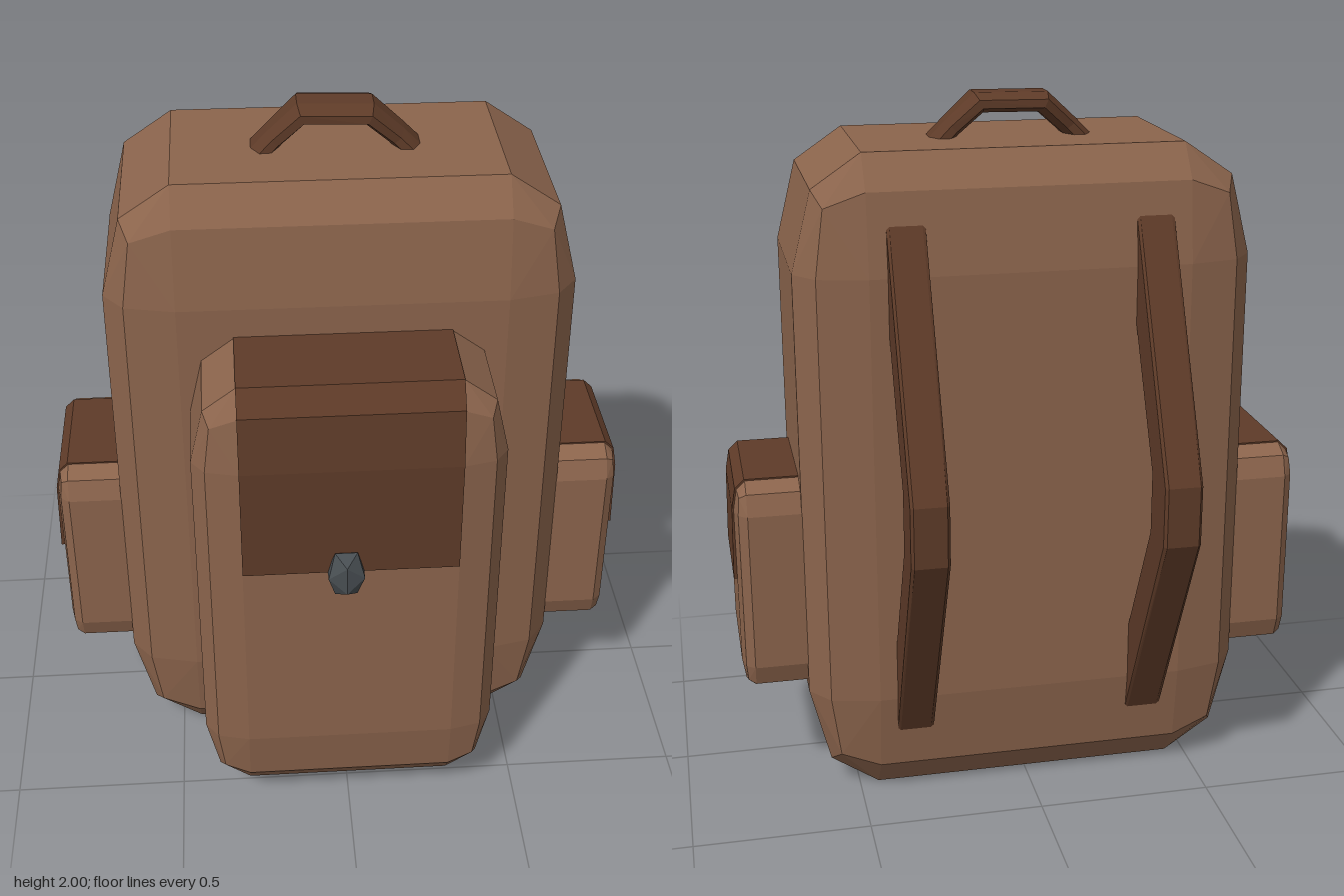
import * as THREE from 'three';
import { ConvexGeometry } from 'three/addons/geometries/ConvexGeometry.js';

const material = (color) => new THREE.MeshStandardMaterial({ color, flatShading: true });
const canvas = material(0x8b644c);
const leather = material(0x5e3b28);
const metal = material(0x484e52);

function add(parent, name, geometry, mat) {
  const mesh = new THREE.Mesh(geometry, mat);
  mesh.name = name;
  parent.add(mesh);
  return mesh;
}

// Box from min to max whose corners are coarse ellipsoid octants with radii r
function softBox(min, max, r) {
  const a = Math.SQRT1_2, b = 1 / Math.sqrt(3);
  const octant = [[1, 0, 0], [0, 1, 0], [0, 0, 1], [a, a, 0], [a, 0, a], [0, a, a], [b, b, b]];
  const points = [];
  for (const sx of [-1, 1]) for (const sy of [-1, 1]) for (const sz of [-1, 1]) {
    const signs = [sx, sy, sz];
    for (const d of octant) {
      points.push(new THREE.Vector3(...signs.map((s, i) =>
        (s > 0 ? max[i] : min[i]) + s * r[i] * (d[i] - 1))));
    }
  }
  return new ConvexGeometry(points);
}

// Extrudes a closed profile, centred on its depth
function slab(profile, width, bevel = 0) {
  const shape = new THREE.Shape(profile.map(([x, y]) => new THREE.Vector2(x, y)));
  const depth = width - 2 * bevel;
  return new THREE.ExtrudeGeometry(shape, {
    depth, bevelEnabled: bevel > 0, bevelSegments: 1,
    bevelSize: bevel, bevelThickness: bevel, bevelOffset: -bevel,
  }).translate(0, 0, -depth / 2);
}

// Eight-sided strip swept over the arch of the carry handle
function handleGeometry() {
  const rings = [
    { x: -0.24, y: 1.83, z: -0.02, n: [-0.75, 0.66], w: 0.072 },
    { x: -0.165, y: 1.905, z: -0.026, n: [-0.75, 0.66], w: 0.066 },
    { x: -0.09, y: 1.972, z: -0.036, n: [-0.45, 1], w: 0.079 },
    { x: 0.09, y: 1.972, z: -0.022, n: [0.45, 1], w: 0.079 },
    { x: 0.165, y: 1.905, z: -0.022, n: [0.75, 0.66], w: 0.066 },
    { x: 0.24, y: 1.83, z: -0.02, n: [0.75, 0.66], w: 0.072 },
  ];
  const sides = 8, position = [], index = [];
  rings.forEach((p, i) => {
    for (let j = 0; j < sides; j++) {
      const a = ((j + 0.5) / sides) * Math.PI * 2;
      const t = 0.03 * Math.cos(a), w = (p.w / 0.924) * Math.sin(a);
      position.push(p.x + p.n[0] * t, p.y + p.n[1] * t, p.z + w);
      if (i === rings.length - 1) continue;
      const k = i * sides + j, l = i * sides + (j + 1) % sides;
      index.push(k, l, l + sides, k, l + sides, k + sides);
    }
  });
  const g = new THREE.BufferGeometry();
  g.setAttribute('position', new THREE.Float32BufferAttribute(position, 3));
  g.setIndex(index);
  const flat = g.toNonIndexed();
  flat.computeVertexNormals();
  return flat;
}

export function createModel() {
  const backpack = new THREE.Group();
  backpack.name = 'backpack';

  // Main bag
  add(backpack, 'body', softBox([-0.64, 0, -0.36], [0.64, 1.88, 0.315], [0.195, 0.32, 0.102]), canvas);

  // Front pocket with its flap folded over the top
  const front = new THREE.Group();
  front.name = 'frontPocket';
  backpack.add(front);
  add(front, 'frontPocketBag', softBox([-0.42, 0.07, 0.1], [0.42, 1.472, 0.627], [0.125, 0.225, 0.07]), canvas);
  const frontFlap = slab([
    [0.25, 1.4], [0.54, 1.4], [0.6, 1.2], [0.6, 0.915],
    [0.632, 0.915], [0.632, 1.25], [0.612, 1.412], [0.562, 1.476], [0.25, 1.476],
  ], 0.59).rotateY(-Math.PI / 2);
  add(front, 'frontFlap', frontFlap, leather);

  // Faceted clasp
  add(front, 'clasp', new THREE.IcosahedronGeometry(1, 0).scale(0.058, 0.083, 0.043), metal)
    .position.set(-0.015, 0.915, 0.64);

  // Side pockets and back straps
  for (const side of [1, -1]) {
    const label = side > 0 ? 'left' : 'right';
    const pocket = new THREE.Group();
    pocket.name = label + 'SidePocket';
    pocket.position.z = -0.0225;
    pocket.rotation.y = side > 0 ? 0 : Math.PI;
    backpack.add(pocket);
    add(pocket, label + 'SidePocketBag',
      softBox([0.5, 0.325, -0.237], [0.825, 0.96, 0.237], [0.035, 0.085, 0.07]), canvas);
    add(pocket, label + 'SideFlap', slab([
      [0.6, 0.92], [0.78, 0.92], [0.805, 0.87], [0.81, 0.665],
      [0.835, 0.665], [0.83, 0.877], [0.819, 0.938], [0.792, 0.964], [0.6, 0.964],
    ], 0.335), leather);

    // Angular shoulder strap
    const strap = slab([
      [-0.335, 1.71], [-0.675, 1.03], [-0.675, 0.86], [-0.335, 0.19],
      [-0.335, 0.46], [-0.54, 0.86], [-0.54, 1.03], [-0.335, 1.43],
    ], 0.105, 0.008).rotateY(-Math.PI / 2);
    add(backpack, label + 'ShoulderStrap', strap, leather).position.x = side * 0.342;
  }

  // Carry handle
  add(backpack, 'carryHandle', handleGeometry(), leather);

  return backpack;
}
